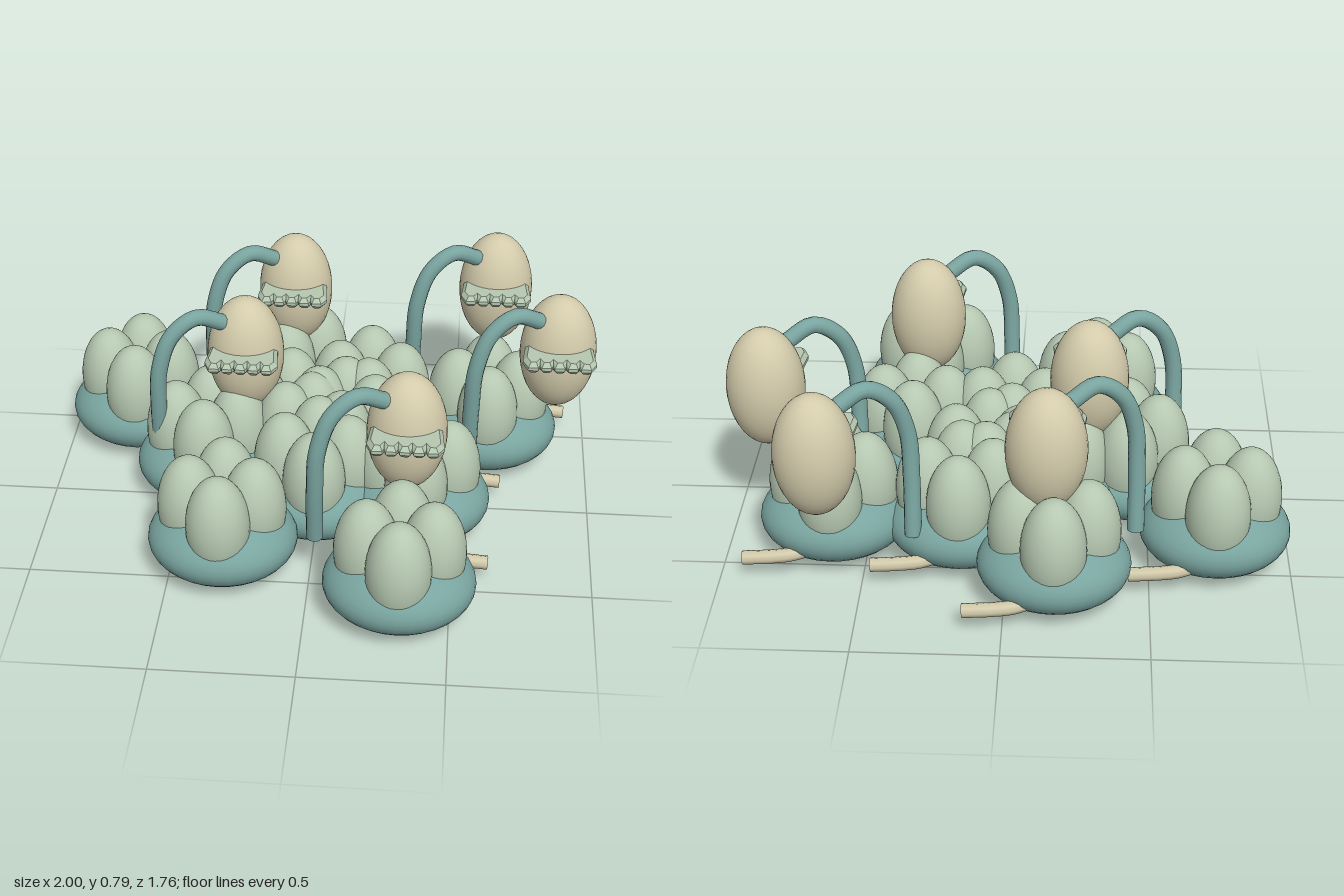
import * as THREE from 'three';

const mat = (name, color, side = THREE.FrontSide) => {
  const m = new THREE.MeshStandardMaterial({ color, side });
  m.name = name;
  return m;
};

// [x, z] of every cushion
const CUSHIONS = [
  [-0.73, -0.41], [-0.17, -0.645], [0.615, -0.365], [0.365, 0.13], [-0.31, 0.42], [0.325, 0.63],
  [-0.42, -0.055], [0.165, -0.39], [0, 0.125], [0.08, -0.155], [-0.13, -0.2],
];
// [x, z] of every spore capsule
const CAPSULES = [[0.33, 0.345], [-0.28, -0.125], [-0.14, -0.615], [0.63, -0.68], [0.86, -0.225]];

export function createModel() {
  const teal = mat('teal', 0x7aa5a0);
  const sage = mat('sage', 0xb6c8b1);
  const tan = mat('tan', 0xd3cbab);
  const model = new THREE.Group();
  model.name = 'mossColony';

  const add = (parent, name, geometry, material, x = 0, y = 0, z = 0) => {
    const mesh = new THREE.Mesh(geometry, material);
    mesh.name = name;
    mesh.position.set(x, y, z);
    parent.add(mesh);
    return mesh;
  };
  const ellipsoid = (rx, ry, rz) => new THREE.SphereGeometry(1, 32, 20).scale(rx, ry, rz);
  const curve = (points) => new THREE.CatmullRomCurve3(points.map((p) => new THREE.Vector3(...p)));
  // Tube with flat end caps
  const addTube = (parent, name, points, radius, material, segments, sides) => {
    const path = curve(points);
    add(parent, name, new THREE.TubeGeometry(path, segments, radius, sides), material);
    for (const t of [0, 1]) {
      const cap = add(parent, name + 'End', new THREE.CircleGeometry(radius, sides), material);
      cap.position.copy(path.getPoint(t));
      const out = path.getTangent(t).multiplyScalar(t ? 1 : -1);
      cap.quaternion.setFromUnitVectors(new THREE.Vector3(0, 0, 1), out);
    }
  };

  // Cushions: squashed base, four leaf pods and a curved root
  const baseGeo = ellipsoid(0.266, 0.14, 0.245);
  const podGeo = ellipsoid(0.113, 0.195, 0.115);
  const rootPoints = [[0.02, 0.09, -0.08], [0.06, 0.1, -0.16], [0.13, 0.095, -0.2], [0.2, 0.088, -0.207], [0.305, 0.08, -0.207]];
  for (const [x, z] of CUSHIONS) {
    const cushion = new THREE.Group();
    cushion.name = 'cushion';
    cushion.position.set(x, 0, z);
    add(cushion, 'base', baseGeo, teal, 0, 0.148, 0);
    for (const [dx, dz] of [[1, 0], [-1, 0], [0, 1], [0, -1]]) {
      add(cushion, 'leafPod', podGeo, sage, dx * 0.115, 0.275, dz * 0.12);
    }
    addTube(cushion, 'root', rootPoints, 0.025, tan, 20, 8);
    model.add(cushion);
  }

  // Scalloped collar outline, drawn flat and then laid level
  const collarShape = new THREE.Shape();
  collarShape.moveTo(-0.11, 0.07);
  collarShape.lineTo(-0.118, 0.15);
  const teeth = 5, step = 0.236 / teeth;
  for (let i = 0; i < teeth; i++) {
    const x = -0.118 + i * step;
    collarShape.lineTo(x + step * 0.3, 0.183);
    collarShape.lineTo(x + step * 0.7, 0.183);
    collarShape.lineTo(x + step, 0.158);
  }
  collarShape.lineTo(0.11, 0.07);
  collarShape.closePath();
  const collarGeo = new THREE.ExtrudeGeometry(collarShape, {
    depth: 0.012, bevelEnabled: true, bevelThickness: 0.016, bevelSize: 0.014, bevelSegments: 1,
  });
  collarGeo.rotateX(Math.PI / 2);

  // Capsules: egg, collar and hooked stalk
  const eggGeo = ellipsoid(0.14, 0.225, 0.13);
  const stalkPoints = [
    [-0.31, 0.19, 0.115], [-0.308, 0.4, 0.145], [-0.297, 0.58, 0.155],
    [-0.25, 0.71, 0.135], [-0.165, 0.77, 0.1], [-0.07, 0.725, 0.05],
  ];
  for (const [x, z] of CAPSULES) {
    const capsule = new THREE.Group();
    capsule.name = 'sporeCapsule';
    capsule.position.set(x, 0, z);
    add(capsule, 'egg', eggGeo, tan, 0, 0.577, 0);
    add(capsule, 'collar', collarGeo, sage, 0, 0.618, 0);
    addTube(capsule, 'stalk', stalkPoints, 0.03, teal, 32, 12);
    model.add(capsule);
  }
  model.position.y = -0.008;
  const root = new THREE.Group();
  root.add(model);
  return root;
}
